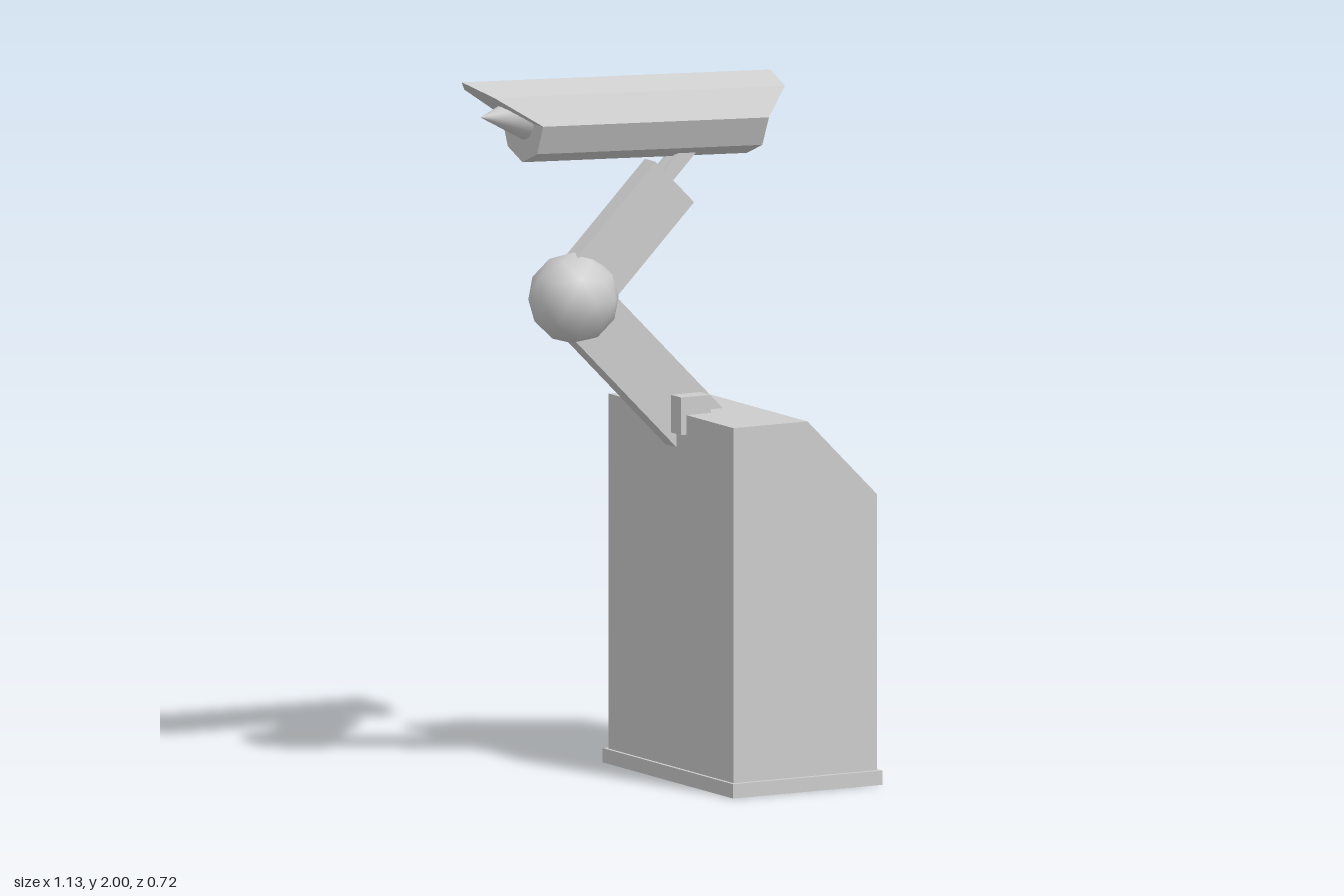
import * as THREE from 'three';

export function createModel() {
  const model = new THREE.Group();
  const grey = new THREE.MeshStandardMaterial({ color: 0xcccccc });
  grey.name = 'light grey';

  const add = (name, geometry, x = 0, y = 0, z = 0, tilt = 0) => {
    const mesh = new THREE.Mesh(geometry, grey);
    mesh.name = name;
    mesh.position.set(x, y, z);
    mesh.rotation.z = tilt;
    model.add(mesh);
    return mesh;
  };
  // Box running between two points of the x-y plane
  const bar = (name, x0, y0, x1, y1, width, depth, z = 0) => {
    const length = Math.hypot(x1 - x0, y1 - y0);
    return add(name, new THREE.BoxGeometry(length, width, depth),
      (x0 + x1) / 2, (y0 + y1) / 2, z, Math.atan2(y1 - y0, x1 - x0));
  };
  // Side profile swept from z0 to z1
  const sweep = (name, points, z0, z1) => {
    const shape = new THREE.Shape(points.map(([x, y]) => new THREE.Vector2(x, y)));
    return add(name, new THREE.ExtrudeGeometry(shape, { depth: z1 - z0, bevelEnabled: false }), 0, 0, z0);
  };

  // Plinth and sloped cabinet, with a shallow screen recess in the slope
  add('plinth', new THREE.BoxGeometry(0.474, 0.04, 0.72), 0.327, 0.02, 0);
  const lower = [[0.1, 0.04], [0.555, 0.04], [0.555, 0.81]];
  const upper = [[0.335, 1.03], [0.1, 1.03]];
  const recess = [[0.54, 0.825], [0.53, 0.815], [0.34, 1.005], [0.35, 1.015]];
  sweep('cabinetSide', [...lower, ...upper], 0.3, 0.345);
  sweep('cabinetSide', [...lower, ...upper], -0.345, -0.3);
  sweep('cabinetWithScreenRecess', [...lower, ...recess, ...upper], -0.3, 0.3);

  // Jointed arm
  bar('lowerArm', 0.19, 0.965, -0.21, 1.365, 0.173, 0.06);
  bar('upperArm', -0.21, 1.37, 0.095, 1.673, 0.173, 0.06);
  for (const side of [1, -1]) {
    add('hingeBlock', new THREE.BoxGeometry(0.095, 0.105, 0.055), 0.13, 1.028, side * 0.0575);
    bar('headStrut', 0.05, 1.665, 0.15, 1.765, 0.04, 0.016, side * 0.02);
  }

  // Faceted elbow ball, one vertex pointing straight up
  const ball = new THREE.IcosahedronGeometry(0.127, 1);
  ball.rotateX(-Math.atan((1 + Math.sqrt(5)) / 2));
  ball.rotateY(Math.PI / 2);
  add('elbowBall', ball, -0.21, 1.37, 0);

  // Octagonal head, its upper corners drawn out into hoods at both ends
  const R = 0.115;
  const leftX = [-0.565, -0.51, -0.372, -0.372, -0.372];
  const rightX = [0.415, 0.415, 0.345, 0.343, 0.341];
  const positions = [];
  for (const ends of [leftX, rightX]) {
    for (let k = 0; k < 8; k++) {
      const a = k * Math.PI / 4;
      const x = ends[Math.min(k, 8 - k)];
      positions.push(x, 2 - 0.044 * (x + 0.565) - R * (1 - Math.cos(a)), R * Math.sin(a));
    }
  }
  const index = [];
  for (let k = 0; k < 8; k++) {
    const n = (k + 1) % 8;
    index.push(k, n + 8, k + 8, k, n, n + 8);
  }
  const cap = [[0, 1, 2], [0, 2, 6], [0, 6, 7], [2, 3, 4], [2, 4, 5], [2, 5, 6]];
  for (const [a, b, c] of cap) index.push(a, c, b, a + 8, b + 8, c + 8);
  const indexed = new THREE.BufferGeometry();
  indexed.setAttribute('position', new THREE.Float32BufferAttribute(positions, 3));
  indexed.setIndex(index);
  const head = indexed.toNonIndexed();
  head.computeVertexNormals();
  add('head', head);

  // Pointed nozzle under the front hood
  add('nozzle', new THREE.ConeGeometry(0.07, 0.145, 32), -0.433, 1.894, 0, Math.PI / 2 - 0.044);

  return model;
}
